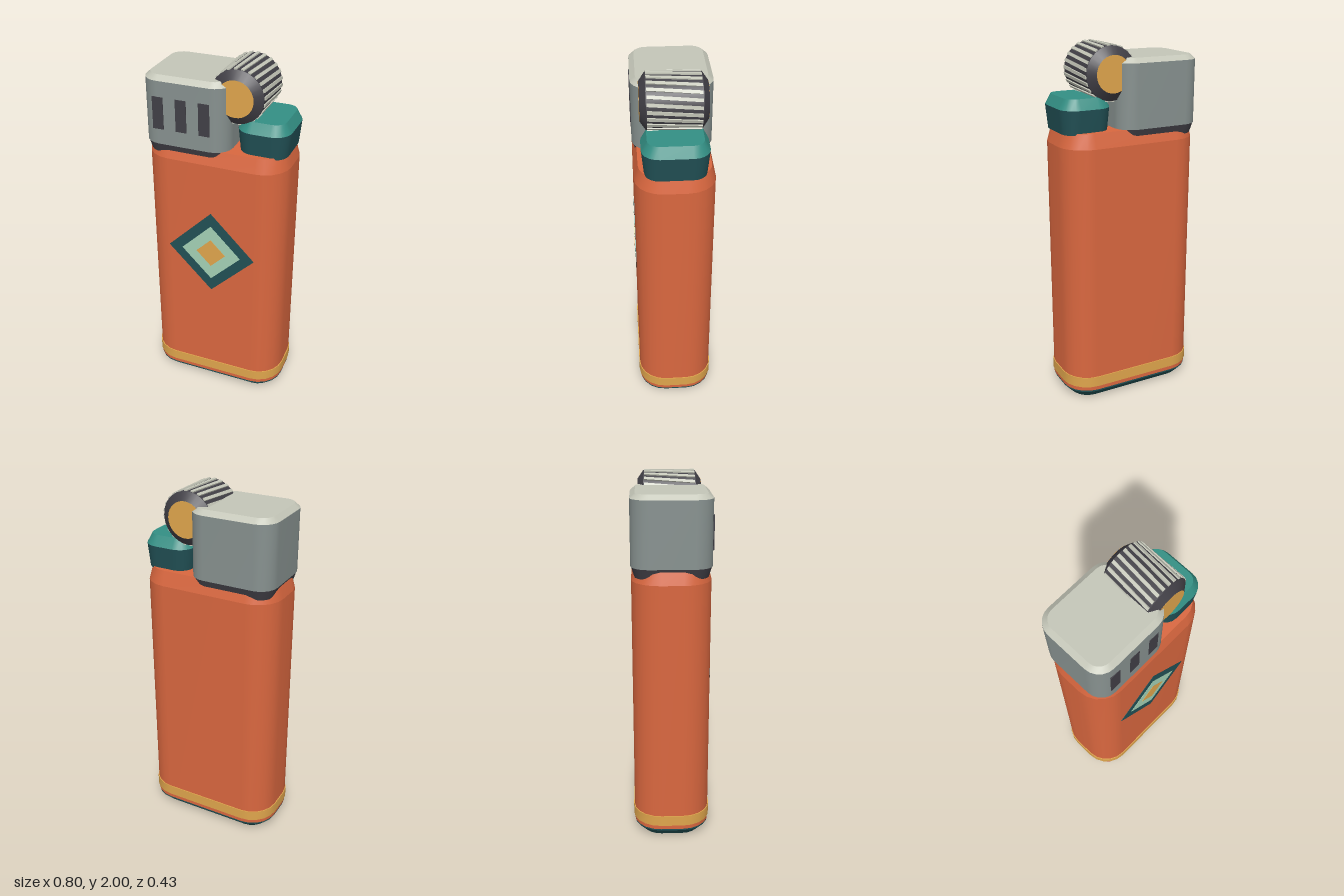
import * as THREE from 'three';
import { mergeGeometries } from 'three/addons/utils/BufferGeometryUtils.js';

const mat = (name, color) => {
  const m = new THREE.MeshStandardMaterial({ color });
  m.name = name;
  return m;
};

// Rounded-rectangle outline in the xz plane; inset shrinks size and corner radius together
function outline({ cx = 0, hx, hz, r }, inset, y, seg = 5) {
  const pts = [];
  const rad = Math.max(r - inset, 0.01);
  const corners = [[1, 1], [-1, 1], [-1, -1], [1, -1]];
  corners.forEach(([sx, sz], q) => {
    for (let i = 0; i <= seg; i++) {
      const a = (q + i / seg) * Math.PI / 2;
      pts.push([
        cx + sx * (hx - inset - rad) + rad * Math.cos(a), y,
        sz * (hz - inset - rad) + rad * Math.sin(a)]);
    }
  });
  return pts;
}

// Stack of [y, inset] levels: smooth around, crisp between levels, capped at both ends
function stack(shape, levels) {
  const pos = [], index = [];
  const rings = levels.map(([y, inset]) => outline(shape, inset, y));
  const n = rings[0].length;
  const add = ring => {
    const start = pos.length / 3;
    ring.forEach(p => pos.push(...p));
    return start;
  };
  for (let k = 0; k < rings.length - 1; k++) {
    const a = add(rings[k]), b = add(rings[k + 1]);
    for (let i = 0; i < n; i++) {
      const j = (i + 1) % n;
      index.push(a + i, b + i, a + j, a + j, b + i, b + j);
    }
  }
  const bottom = add(rings[0]), top = add(rings[rings.length - 1]);
  for (let i = 1; i < n - 1; i++) {
    index.push(bottom, bottom + i, bottom + i + 1, top, top + i + 1, top + i);
  }
  const g = new THREE.BufferGeometry();
  g.setAttribute('position', new THREE.Float32BufferAttribute(pos, 3));
  g.setIndex(index);
  g.computeVertexNormals();
  return g;
}

export function createModel() {
  const orange = mat('orange', 0xd9673f);
  const gold = mat('gold', 0xdfa54c);
  const darkTeal = mat('dark teal', 0x215055);
  const teal = mat('teal', 0x338f84);
  const mint = mat('mint', 0xa3d1b5);
  const grey = mat('steel grey', 0x87918f);
  const pale = mat('pale steel', 0xc4c6b8);
  const charcoal = mat('charcoal', 0x413f46);

  const model = new THREE.Group();
  model.name = 'lighter';
  const add = (name, geometry, material, parent = model) => {
    const m = new THREE.Mesh(geometry, material);
    m.name = name;
    parent.add(m);
    return m;
  };

  // Body, base and band
  const bodyShape = { hx: 0.395, hz: 0.21, r: 0.15 };
  add('base', stack(bodyShape, [[0, 0.05], [0.05, 0.002], [0.06, 0.002]]), darkTeal);
  add('body', stack(bodyShape, [[0.06, 0], [1.48, 0], [1.56, 0.022]]), orange);
  add('band', stack({ hx: 0.4, hz: 0.215, r: 0.155 }, [[0.085, 0], [0.145, 0]]), gold);

  // Diamond badge: three thin layered plates
  const badge = new THREE.Group();
  badge.name = 'badge';
  badge.position.set(0, 0.94, 0.21);
  model.add(badge);
  [['badgeRim', 0.252, darkTeal], ['badgeField', 0.172, mint], ['badgeCentre', 0.085, gold]]
    .forEach(([name, half, material], i) => {
      const side = half * Math.SQRT2;
      const plate = add(name, new THREE.BoxGeometry(side, side, 0.003), material, badge);
      plate.rotation.z = Math.PI / 4;
      plate.position.z = 0.001 + i * 0.002;
    });

  // Metal hood with its collar, top and vent slots
  const hoodShape = { cx: -0.146, hx: 0.238, hz: 0.212, r: 0.095 };
  add('collar', stack(hoodShape, [[1.505, 0.02], [1.56, 0.003]]), charcoal);
  add('hood', stack(hoodShape, [[1.56, 0], [1.905, 0]]), grey);
  add('hoodTop', stack(hoodShape, [[1.905, 0], [1.93, 0.028]]), pale);
  for (const x of [-0.285, -0.157, -0.03]) {
    add('ventSlot', new THREE.BoxGeometry(0.06, 0.175, 0.006), charcoal)
      .position.set(x, 1.733, 0.212);
  }

  // Thumb button
  const buttonShape = { cx: 0.255, hx: 0.141, hz: 0.171, r: 0.09 };
  add('buttonSide', stack(buttonShape, [[1.55, 0.013], [1.68, 0]]), darkTeal);
  add('buttonTop', stack(buttonShape, [[1.68, 0], [1.735, 0.03]]), teal);

  // Spark wheel lying along z
  const wheel = new THREE.Group();
  wheel.name = 'sparkWheel';
  wheel.position.set(0.12, 1.852, 0);
  model.add(wheel);
  const drum = [[0.142, 0.142, 0.28, 0], [0.098, 0.142, 0.031, 0.1555], [0.142, 0.098, 0.031, -0.1555]]
    .map(([rt, rb, h, y]) => new THREE.CylinderGeometry(rt, rb, h, 28, 1, true).translate(0, y, 0));
  add('wheelDrum', mergeGeometries(drum).rotateX(Math.PI / 2), charcoal, wheel);
  add('wheelCaps', new THREE.CylinderGeometry(0.098, 0.098, 0.343, 28).rotateX(Math.PI / 2), gold, wheel);

  // Slanted teeth: each bar is twisted around the wheel axis along its length
  const count = 24, teeth = [];
  for (let i = 0; i < count; i++) {
    const bar = new THREE.BoxGeometry(0.017, 0.018, 0.272, 1, 1, 4).translate(0, 0.139, 0);
    const p = bar.attributes.position;
    for (let k = 0; k < p.count; k++) {
      const a = i / count * Math.PI * 2 + p.getZ(k) * 0.6;
      const x = p.getX(k), y = p.getY(k);
      p.setXY(k, x * Math.cos(a) - y * Math.sin(a), x * Math.sin(a) + y * Math.cos(a));
    }
    bar.computeVertexNormals();
    teeth.push(bar);
  }
  add('wheelTeeth', mergeGeometries(teeth), pale, wheel);

  return model;
}
